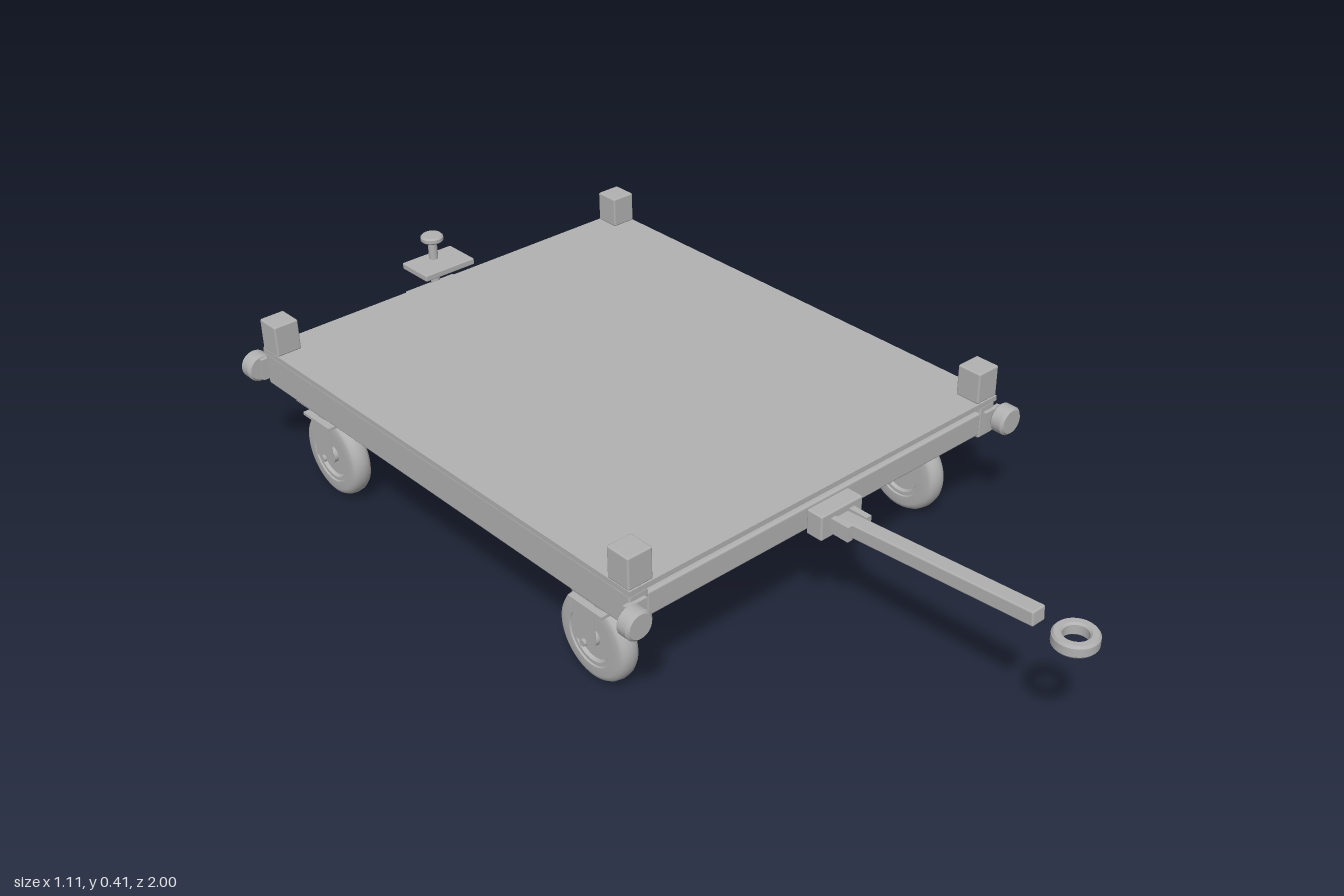
import * as THREE from 'three';
import { RoundedBoxGeometry } from 'three/addons/geometries/RoundedBoxGeometry.js';

const steel = new THREE.MeshStandardMaterial({ color: 0xb1b1b1 });
steel.name = 'grey steel';

function add(parent, name, geometry, x = 0, y = 0, z = 0) {
  const mesh = new THREE.Mesh(geometry, steel);
  mesh.name = name;
  mesh.position.set(x, y, z);
  parent.add(mesh);
  return mesh;
}

const box = (w, h, d) => new THREE.BoxGeometry(w, h, d);
const bar = (w, h, d, r = 0.005) => new RoundedBoxGeometry(w, h, d, 2, r);
const rod = (r, h, n = 32) => new THREE.CylinderGeometry(r, r, h, n);
const vec = (points) => points.map(([x, y]) => new THREE.Vector2(x, y));

// Cylinder with a small chamfer on both rims, centred on its own axis
function disc(r, h, c) {
  return new THREE.LatheGeometry(vec([
    [0, -h / 2], [r - c, -h / 2], [r - c, -h / 2], [r, -h / 2 + c], [r, -h / 2 + c],
    [r, h / 2 - c], [r, h / 2 - c], [r - c, h / 2], [r - c, h / 2], [0, h / 2],
  ]), 32);
}

// Rounded tyre with a recessed rim and a raised hub
function wheelGeometry() {
  const half = [[0.0, 0.024], [0.018, 0.024], [0.018, 0.024], [0.018, 0.014], [0.018, 0.014],
    [0.05, 0.014], [0.05, 0.014], [0.054, 0.021], [0.054, 0.021], [0.062, 0.021], [0.062, 0.021],
    [0.064, 0.024], [0.064, 0.024], [0.084, 0.024], [0.093, 0.02], [0.098, 0.012], [0.1, 0]];
  const lower = half.map(([r, h]) => [r, -h]);
  return new THREE.LatheGeometry(vec([...lower, ...half.slice(0, -1).reverse()]), 48).rotateZ(Math.PI / 2);
}

// Swivel caster; the wheel may trail behind the mounting plate
function caster(name, x, z, trail) {
  const g = new THREE.Group();
  g.name = name;
  g.position.set(x, 0, z);
  add(g, 'mountingPlate', box(0.116, 0.008, trail ? 0.09 : 0.116), 0, 0.235, trail);
  add(g, 'swivelHousing', disc(0.038, 0.03, 0.004), 0, 0.216, trail);
  add(g, 'forkCrown', box(0.1, 0.007, 0.1), 0, 0.199, trail / 2);
  for (const s of [-1, 1]) {
    add(g, 'forkLeg', box(0.004, 0.1, 0.064), s * 0.037, 0.147, 0);
    add(g, 'axleNut', rod(0.008, 0.008, 16).rotateZ(Math.PI / 2), s * 0.041, 0.1, 0);
  }
  add(g, 'axle', rod(0.005, 0.08, 16).rotateZ(Math.PI / 2), 0, 0.1, 0);
  add(g, 'wheel', wheelGeometry(), 0, 0.1, 0);
  return g;
}

export function createModel() {
  const model = new THREE.Group();
  model.name = 'platformTrailer';
  const midZ = -0.28;

  // Deck and frame
  add(model, 'deck', box(1.03, 0.012, 1.24), 0, 0.326, midZ);
  for (const s of [-1, 1]) {
    add(model, 'sideRail', bar(0.046, 0.078, 1.235), s * 0.49, 0.281, midZ);
    add(model, 'endRail', bar(0.94, 0.056, 0.046), 0, 0.278, midZ + s * 0.594);
  }
  add(model, 'middleCrossbar', bar(0.94, 0.056, 0.046), 0, 0.278, midZ);

  // Corner stops, bumpers and casters
  for (const sx of [-1, 1]) {
    for (const sz of [-1, 1]) {
      add(model, 'cornerStop', bar(0.06, 0.073, 0.06, 0.004), sx * 0.485, 0.368, midZ + sz * 0.588);
      add(model, 'bumper', disc(0.033, 0.036, 0.006).rotateX(Math.PI / 2), sx * 0.523, 0.28, midZ + sz * 0.642);
      add(model, 'bumperMount', box(0.05, 0.05, 0.012), sx * 0.502, 0.28, midZ + sz * 0.62);
    }
    model.add(caster('frontCaster', sx * 0.445, 0.162, 0.038));
    model.add(caster('rearCaster', sx * 0.445, -0.747, 0));
  }

  // Tow bar: bracket, clevis cheeks, sloping tongue and eye
  const tow = new THREE.Group();
  tow.name = 'towBar';
  model.add(tow);
  add(tow, 'towBracket', bar(0.116, 0.058, 0.042, 0.004), 0, 0.276, 0.362);
  for (const s of [-1, 1]) add(tow, 'clevisCheek', box(0.014, 0.034, 0.05), s * 0.026, 0.275, 0.405);
  add(tow, 'clevisPin', rod(0.008, 0.066, 16).rotateZ(Math.PI / 2), 0, 0.276, 0.415);
  const tongue = add(tow, 'tongue', bar(0.036, 0.033, 0.492, 0.004), 0, 0.29, 0.627);
  tongue.rotation.x = -0.075;
  add(tow, 'towEye', new THREE.LatheGeometry(vec([
    [0.025, -0.01], [0.029, -0.014], [0.029, -0.014], [0.041, -0.014], [0.041, -0.014], [0.045, -0.009],
    [0.045, -0.009], [0.045, 0.009], [0.045, 0.009], [0.041, 0.014], [0.041, 0.014], [0.029, 0.014],
    [0.029, 0.014], [0.025, 0.01], [0.025, 0.01], [0.025, -0.01],
  ]), 40), 0, 0.306, 0.955);

  // Rear coupling: two plates with a drop pin
  const coupling = new THREE.Group();
  coupling.name = 'rearCoupling';
  model.add(coupling);
  for (const y of [0.344, 0.268]) add(coupling, 'couplingPlate', bar(0.14, 0.016, 0.096, 0.003), 0, y, -0.951);
  add(coupling, 'pinShaft', rod(0.011, 0.18, 24), 0, 0.315, -0.97);
  add(coupling, 'pinHead', disc(0.027, 0.016, 0.004), 0, 0.405, -0.97);

  return model;
}
